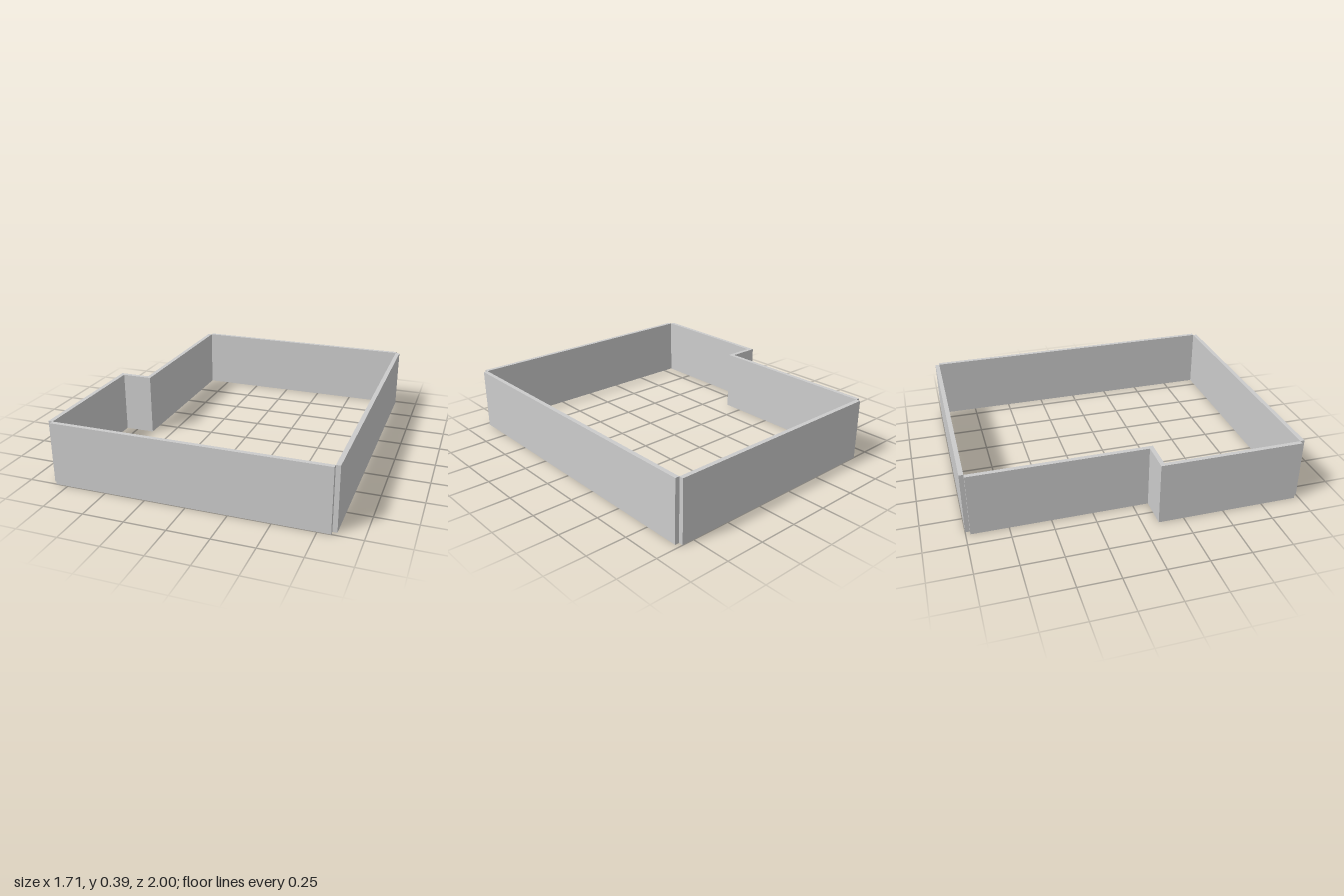
import * as THREE from 'three';

const HEIGHT = 0.39;
const T = 0.027; // wall thickness
const X = 0.853; // outer half width
const Z = 1; // outer half depth
const STEP_X = -0.633; // inner face of the recessed wall
const STEP_Z = 0.095; // back face of the step

export function createModel() {
  const group = new THREE.Group();
  const material = new THREE.MeshStandardMaterial({ color: 0xcccccc, flatShading: true });

  // Extrudes a plan outline of [x, z] points up to the wall height
  const addWall = (name, points) => {
    const shape = new THREE.Shape(points.map(([x, z]) => new THREE.Vector2(x, -z)));
    const geometry = new THREE.ExtrudeGeometry(shape, { depth: HEIGHT, bevelEnabled: false });
    geometry.rotateX(-Math.PI / 2);
    const mesh = new THREE.Mesh(geometry, material);
    mesh.name = name;
    group.add(mesh);
  };
  const rect = (x0, x1, z0, z1) => [[x0, z0], [x0, z1], [x1, z1], [x1, z0]];

  // Straight walls, meeting only at their corner edges
  addWall('frontWall', rect(-X + T, X - T, Z - T, Z));
  addWall('backWall', rect(STEP_X, X - T, -Z, -Z + T));
  addWall('leftWall', rect(X - T, X, -Z + T, Z - T));

  // Right wall: one continuous strip that steps inward towards the back
  addWall('steppedRightWall', [
    [-X, Z - T], [-X + T, Z - T], [-X + T, STEP_Z + T], [STEP_X, STEP_Z + T],
    [STEP_X, -Z + T], [STEP_X - T, -Z + T], [STEP_X - T, STEP_Z], [-X, STEP_Z],
  ]);

  return group;
}
